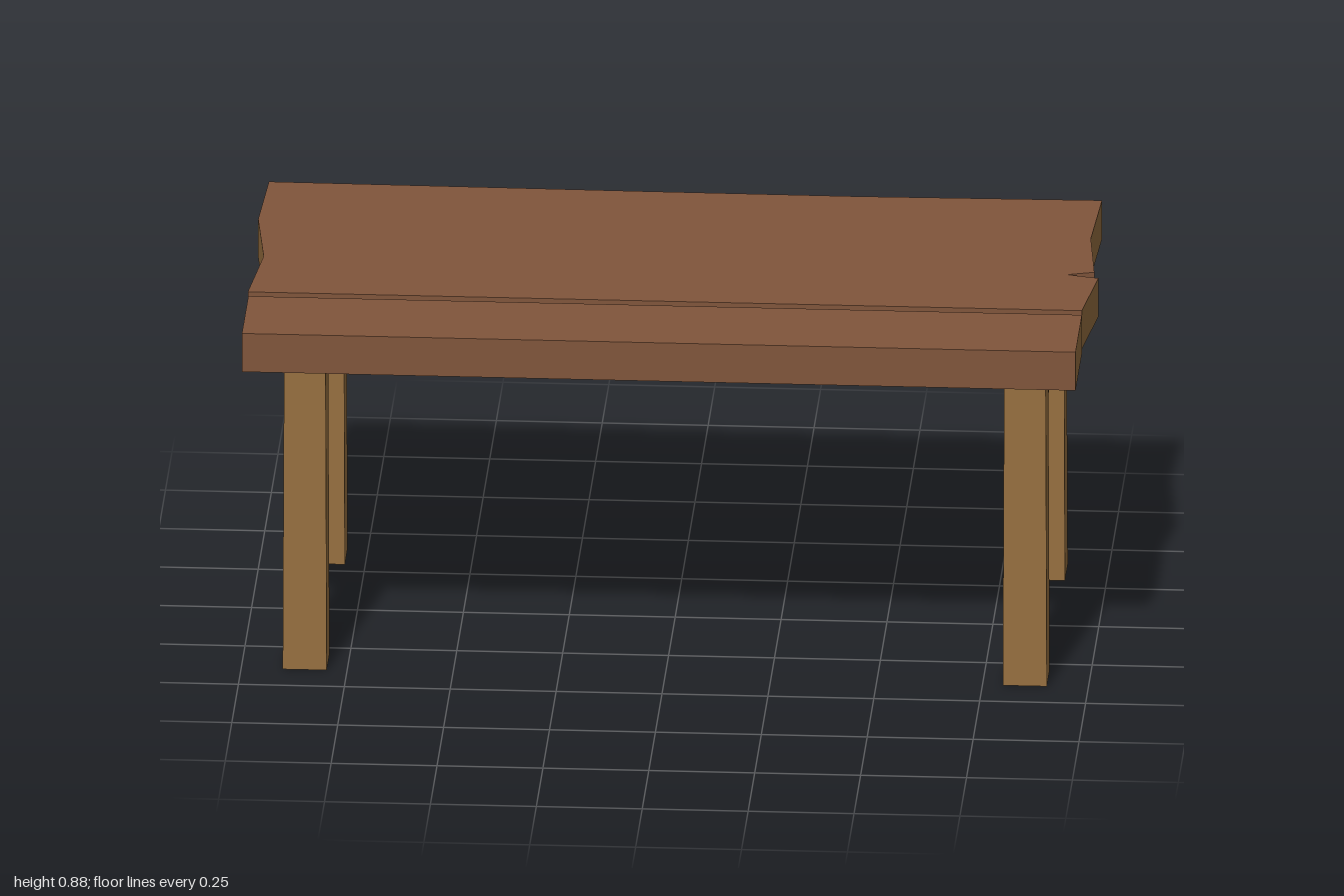
import * as THREE from 'three';

const plankWood = new THREE.MeshStandardMaterial({ color: 0x80553b });
plankWood.name = 'dark plank wood';
const paleWood = new THREE.MeshStandardMaterial({ color: 0x966f40 });
paleWood.name = 'pale cut wood';

const TOP = 0.885, UNDER = 0.788;

// Plank cut from an [x, z] outline; faces turned towards x are pale end grain
function plank(name, outline) {
  const shape = new THREE.Shape(outline.map(([x, z]) => new THREE.Vector2(x, -z)));
  const geo = new THREE.ExtrudeGeometry(shape, { depth: TOP - UNDER, bevelEnabled: false });
  geo.rotateX(-Math.PI / 2).translate(0, UNDER, 0);
  geo.clearGroups();
  const normal = geo.attributes.normal;
  for (let i = 0; i < normal.count; i += 3) {
    geo.addGroup(i, 3, Math.abs(normal.getX(i)) > 0.7 ? 1 : 0);
  }
  const mesh = new THREE.Mesh(geo, [plankWood, paleWood]);
  mesh.name = name;
  return mesh;
}

// Square leg, slightly thicker at the foot
function leg(name, x, z) {
  const geo = new THREE.BoxGeometry(0.1, UNDER, 0.1).translate(0, UNDER / 2, 0);
  const p = geo.attributes.position;
  for (let i = 0; i < p.count; i++) {
    const foot = p.getY(i) < 0.1;
    p.setX(i, p.getX(i) * (foot ? 1.04 : 0.98));
    p.setZ(i, p.getZ(i) * (foot ? 1.07 : 0.99));
  }
  geo.computeVertexNormals();
  const mesh = new THREE.Mesh(geo, paleWood);
  mesh.name = name;
  mesh.position.set(x, 0, z);
  return mesh;
}

export function createModel() {
  const table = new THREE.Group();
  table.name = 'plank table';

  // Wide plank with worn ends and a split on the left end
  table.add(plank('widePlank', [
    [-0.995, 0.224], [0.974, 0.224], [1, 0.011], [0.925, -0.008], [0.988, -0.027],
    [0.966, -0.245], [0.977, -0.495], [0.4, -0.485], [-0.1, -0.487], [-0.99, -0.495],
    [-1, -0.25], [-0.972, -0.01],
  ]));

  // Narrow plank along the front
  table.add(plank('narrowPlank', [
    [-0.992, 0.495], [0.976, 0.495], [0.976, 0.252], [-0.992, 0.252],
  ]));

  // Two legs and a joining rail at each end
  for (const [side, s] of [['left', 1], ['right', -1]]) {
    table.add(leg(side + 'FrontLeg', s * 0.85, 0.342));
    table.add(leg(side + 'BackLeg', s * 0.85, -0.347));
    const rail = new THREE.Mesh(new THREE.BoxGeometry(0.09, 0.097, 0.6), paleWood);
    rail.name = side + 'Rail';
    rail.position.set(s * 0.853, 0.7385, -0.002);
    table.add(rail);
  }
  return table;
}
